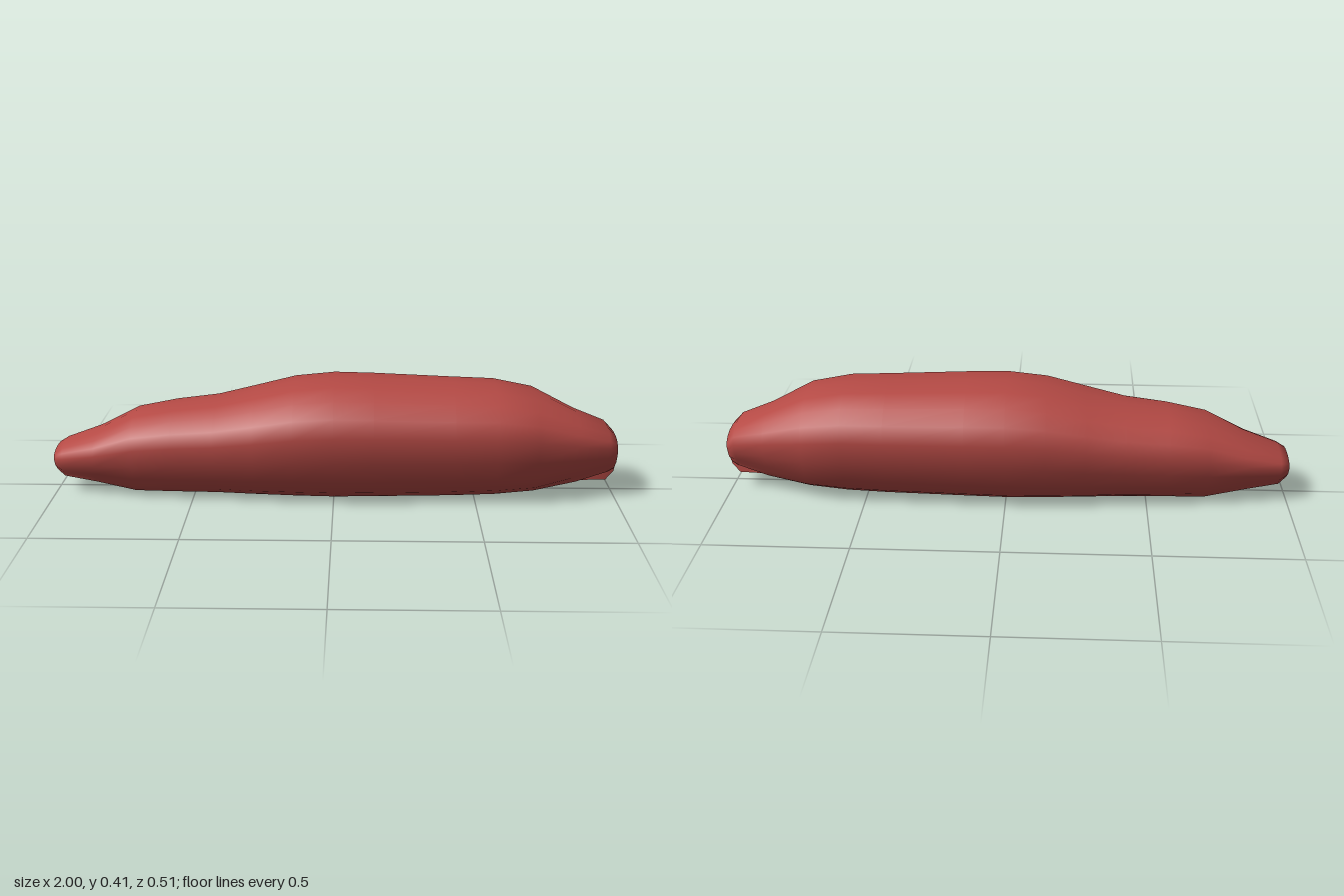
import * as THREE from 'three';
import { toCreasedNormals } from 'three/addons/utils/BufferGeometryUtils.js';

// Stations along the length: x, top y, bottom y, half width, groove ceiling y
const STATIONS = [
  [-1, 0.16, 0.085, 0.085, 0.09],
  [-0.97, 0.178, 0.06, 0.105, 0.068],
  [-0.85, 0.22, 0.045, 0.138, 0.06],
  [-0.71, 0.29, 0.015, 0.175, 0.06],
  [-0.57, 0.317, 0.012, 0.193, 0.06],
  [-0.42, 0.335, 0.01, 0.207, 0.06],
  [-0.28, 0.368, 0.006, 0.23, 0.06],
  [-0.14, 0.402, 0.004, 0.249, 0.06],
  [0, 0.416, 0.002, 0.255, 0.06],
  [0.14, 0.413, 0.004, 0.252, 0.06],
  [0.42, 0.402, 0.008, 0.24, 0.06],
  [0.57, 0.397, 0.013, 0.233, 0.06],
  [0.71, 0.37, 0.025, 0.218, 0.06],
  [0.86, 0.295, 0.06, 0.15, 0.06],
  [0.97, 0.252, 0.092, 0.122, 0.06],
  [1, 0.22, 0.105, 0.1, 0.09],
];

// Half profile as fractions of half width and height, from top centre down
const PROFILE = [[0, 1], [0.41, 0.98], [0.7, 0.906], [0.895, 0.793], [1, 0.643],
  [0.9, 0.407], [0.804, 0.225], [0.627, 0.087]];

// One closed cross-section, with the groove cut in its underside
function section([x, top, bottom, half, ceiling]) {
  const corner = Math.max(0.39 * half, Math.min(0.085, 0.58 * half));
  const groove = Math.min(0.07, corner * 0.85);
  const side = PROFILE.map(([w, h]) => [w * half, bottom + h * (top - bottom)]);
  side.push([corner, bottom], [groove, bottom], [groove, ceiling], [0, ceiling]);
  const mirrored = side.slice(1, -1).reverse().map(([z, y]) => [-z, y]);
  return [...side, ...mirrored].map(([z, y]) => [x, y, z]);
}

function hullGeometry() {
  const rings = STATIONS.map(section);
  const n = rings[0].length;
  const positions = rings.flat(2);
  const index = [];
  // Skin between neighbouring sections
  for (let s = 0; s < rings.length - 1; s++) {
    for (let i = 0; i < n; i++) {
      const a = s * n + i, b = s * n + (i + 1) % n;
      index.push(a, b, a + n, b, b + n, a + n);
    }
  }
  // End caps, fanned from a centre point
  [0, rings.length - 1].forEach((s) => {
    const [x, top, bottom] = STATIONS[s];
    const centre = positions.length / 3;
    positions.push(x, (top + bottom) / 2, 0);
    for (let i = 0; i < n; i++) {
      const a = s * n + i, b = s * n + (i + 1) % n;
      if (s === 0) index.push(centre, b, a);
      else index.push(centre, a, b);
    }
  });
  const geometry = new THREE.BufferGeometry();
  geometry.setAttribute('position', new THREE.Float32BufferAttribute(positions, 3));
  geometry.setIndex(index);
  return toCreasedNormals(geometry, 1.1);
}

export function createModel() {
  const model = new THREE.Group();
  model.name = 'groovedHull';
  const red = new THREE.MeshStandardMaterial({ color: 0xb54a45, side: THREE.DoubleSide });
  red.name = 'dustyRed';
  const body = new THREE.Mesh(hullGeometry(), red);
  body.name = 'body';
  model.add(body);
  return model;
}
